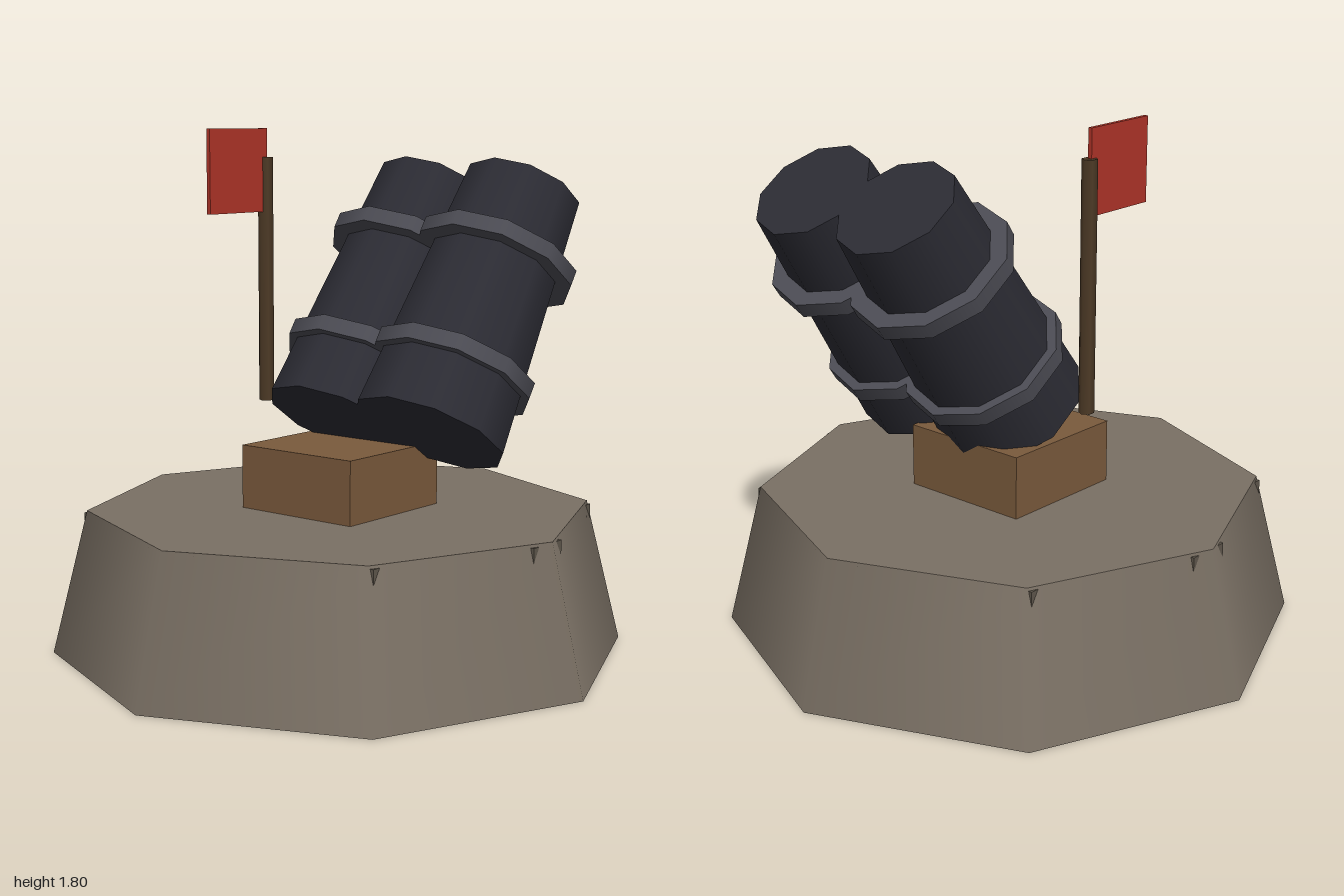
import * as THREE from 'three';

function material(name, color) {
  const m = new THREE.MeshStandardMaterial({ color });
  m.name = name;
  return m;
}

export function createModel() {
  const stone = material('stone', 0x7a7064);
  const darkStone = material('darkStone', 0x5f574c);
  const wood = material('wood', 0x7a5a3c);
  const poleWood = material('poleWood', 0x4d3a26);
  const cloth = material('redCloth', 0xb03428);
  const iron = material('darkIron', 0x2c2c34);
  const band = material('bandIron', 0x4c4c54);

  const model = new THREE.Group();
  model.name = 'mortarEmplacement';

  function add(parent, name, geometry, mat, x, y, z) {
    const mesh = new THREE.Mesh(geometry, mat);
    mesh.name = name;
    mesh.position.set(x, y, z);
    parent.add(mesh);
    return mesh;
  }

  // Eight-sided tapered platform
  add(model, 'platform', new THREE.CylinderGeometry(0.875, 1, 0.5, 8), stone, 0, 0.25, 0);

  // Stones sunk into the rim, only their corners break the surface
  for (let i = 0; i < 8; i++) {
    const a = (i * Math.PI) / 4;
    add(model, 'rimStone', new THREE.BoxGeometry(0.2, 0.12, 0.16), darkStone,
      0.757 * Math.cos(a), 0.43, 0.757 * Math.sin(a));
  }

  // Wooden mount
  add(model, 'mount', new THREE.BoxGeometry(0.48, 0.22, 0.48), wood, 0, 0.61, 0);

  // Two tapered barrels leaning back, each with two bands
  for (const x of [0, 0.38]) {
    const barrel = new THREE.Group();
    barrel.name = 'barrelAssembly';
    barrel.position.set(x, 1.189, -0.27);
    barrel.rotation.x = -0.6;
    add(barrel, 'barrel', new THREE.CylinderGeometry(0.21, 0.267, 0.955, 10), iron, 0, 0, 0);
    for (const y of [-0.24, 0.193]) {
      add(barrel, 'barrelBand', new THREE.CylinderGeometry(0.286, 0.286, 0.057, 10), band, 0, y, 0);
    }
    model.add(barrel);
  }

  // Flag and pole
  add(model, 'flagPole', new THREE.CylinderGeometry(0.027, 0.027, 0.86, 6), poleWood, -0.34, 1.27, 0);
  add(model, 'flag', new THREE.BoxGeometry(0.015, 0.29, 0.29), cloth, -0.34, 1.655, 0.145);

  return model;
}
